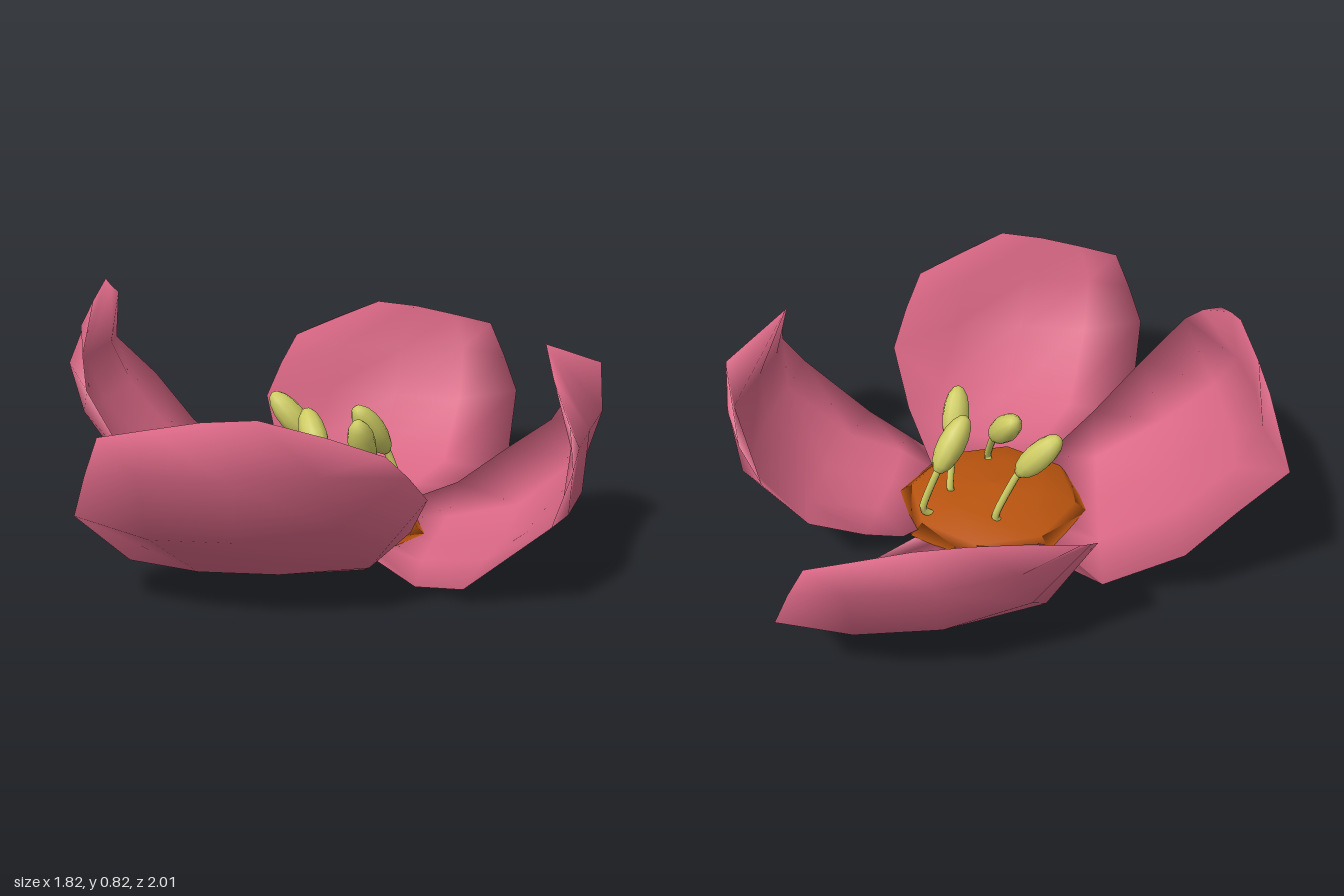
import * as THREE from 'three';

const V = (a) => new THREE.Vector3(...a);

// Open sheet through equal-length rows of points, base row first, facing outward
function sheet(rows) {
  const w = rows[0].length;
  const index = [];
  for (let r = 0; r < rows.length - 1; r++) {
    for (let c = 0; c < w - 1; c++) {
      const a = r * w + c;
      index.push(a, a + 1, a + w, a + 1, a + w + 1, a + w);
    }
  }
  const geo = new THREE.BufferGeometry();
  geo.setAttribute('position', new THREE.Float32BufferAttribute(rows.flat(2), 3));
  geo.setIndex(index);
  geo.computeVertexNormals();
  return geo;
}

// Thin closed petal: outer sheet plus an inner sheet sharing the same rim
function petal(rows, thickness) {
  const outer = sheet(rows);
  const { position, normal } = outer.attributes;
  const w = rows[0].length;
  const points = Array.from(position.array);
  const innerId = [];
  for (let i = 0; i < position.count; i++) {
    const r = Math.floor(i / w), c = i % w;
    const onRim = r === 0 || c === 0 || r === rows.length - 1 || c === w - 1;
    if (onRim) { innerId.push(i); continue; }
    innerId.push(points.length / 3);
    const p = new THREE.Vector3().fromBufferAttribute(position, i);
    const n = new THREE.Vector3().fromBufferAttribute(normal, i);
    points.push(...p.addScaledVector(n, -thickness).toArray());
  }
  const index = Array.from(outer.index.array);
  const inner = index.map((i) => innerId[i]).reverse();
  const geo = new THREE.BufferGeometry();
  geo.setAttribute('position', new THREE.Float32BufferAttribute(points, 3));
  geo.setIndex([...index, ...inner]);
  geo.computeVertexNormals();
  return geo;
}

export function createModel() {
  const model = new THREE.Group();
  model.name = 'flower';

  const petalPink = new THREE.MeshStandardMaterial({ color: 0xdb6886, side: THREE.DoubleSide });
  petalPink.name = 'petal pink';
  const discOrange = new THREE.MeshStandardMaterial({ color: 0xb9540f });
  discOrange.name = 'disc orange';
  const stamenYellow = new THREE.MeshStandardMaterial({ color: 0xcdcb62 });
  stamenYellow.name = 'stamen yellow';

  const add = (geo, mat, name, parent = model) => {
    const mesh = new THREE.Mesh(geo, mat);
    mesh.name = name;
    parent.add(mesh);
    return mesh;
  };

  // Cupped petals, cross-sections from base to rim
  const front = [
    [[-.10, .03, .20], [0, .03, .20], [.10, .03, .20], [.20, .03, .20], [.29, .03, .20]],
    [[-.28, .05, .42], [-.08, .03, .42], [.10, .02, .42], [.28, .03, .40], [.42, .16, .38]],
    [[-.385, .06, .63], [-.15, .06, .65], [.10, .08, .64], [.36, .12, .60], [.51, .32, .54]],
    [[-.385, .30, .94], [-.17, .25, .92], [.08, .26, .89], [.33, .30, .80], [.49, .42, .67]],
    [[-.33, .43, .97], [-.17, .45, .98], [.07, .45, .95], [.30, .46, .87], [.46, .51, .79]],
    [[-.27, .55, 1.0], [-.13, .58, .99], [.02, .61, .975], [.17, .625, .96], [.32, .57, .87]],
  ];
  // The back petal is the front one turned a little past half a turn
  const turn = Math.PI - 0.095;
  const [co, si] = [Math.cos(turn), Math.sin(turn)];
  const back = front.map((row) => row.map(([x, y, z]) =>
    [x * co - z * si + 0.18, y, x * si + z * co + 0.015]));
  const right = [
    [[-.10, .03, -.18], [-.10, .03, -.05], [-.10, .03, .08], [-.10, .03, .18], [-.11, .08, .28]],
    [[-.39, .05, -.35], [-.36, .02, -.12], [-.33, .02, .10], [-.30, .07, .30], [-.26, .18, .45]],
    [[-.64, .23, -.38], [-.61, .20, -.14], [-.58, .19, .10], [-.53, .23, .34], [-.42, .35, .56]],
    [[-.78, .40, -.36], [-.79, .40, -.14], [-.77, .39, .10], [-.70, .42, .32], [-.56, .55, .54]],
    [[-.92, .54, -.32], [-.86, .56, -.12], [-.84, .55, .10], [-.77, .57, .28], [-.62, .64, .45]],
    [[-.84, .73, -.20], [-.80, .77, -.08], [-.74, .82, .07], [-.71, .77, .21], [-.68, .71, .35]],
  ];
  const left = [
    [[.20, .03, .22], [.20, .03, .14], [.20, .03, .04], [.20, .03, -.08], [.29, .07, -.25]],
    [[.45, .01, .43], [.43, .01, .28], [.42, .01, .10], [.42, .03, -.10], [.40, .11, -.31]],
    [[.61, .05, .50], [.64, .05, .30], [.66, .05, .08], [.65, .08, -.17], [.55, .22, -.42]],
    [[.85, .26, .49], [.87, .24, .30], [.88, .25, .10], [.84, .25, -.22], [.70, .34, -.40]],
    [[.89, .40, .40], [.885, .43, .25], [.89, .44, .08], [.90, .45, -.14], [.77, .46, -.375]],
    [[.87, .52, .36], [.80, .63, .25], [.75, .70, .10], [.89, .61, -.12], [.83, .53, -.29]],
  ];
  Object.entries({ front, back, left, right }).forEach(([side, rows]) =>
    add(petal(rows, 0.025), petalPink, side + 'Petal'));

  // Low domed eight-sided centre, smooth round the rim
  const profile = [[0, .02], [.335, .035], [.29, .07], [.17, .10], [0, .115]]
    .map(([r, y]) => new THREE.Vector2(r, y));
  add(new THREE.LatheGeometry(profile, 8), discOrange, 'centreDisc').position.set(0.04, 0, 0.04);

  // Stamens: foot, knee, bottom of head, tip of head
  const stamens = [
    [[-.11, .012, -.09], [0, .10, -.13], [-.07, .27, -.11], [-.21, .43, -.10]],
    [[.15, .012, -.07], [.25, .10, -.13], [.20, .25, -.12], [.115, .425, -.02]],
    [[0, .012, .12], [.09, .10, .21], [.05, .255, .12], [-.05, .41, 0]],
    [[.13, .012, .15], [.18, .10, -.01], [.18, .24, .05], [.18, .425, .16]],
  ];
  for (const points of stamens) {
    const [foot, knee, low, tip] = points.map(V);
    const stamen = new THREE.Group();
    stamen.name = 'stamen';
    model.add(stamen);

    const path = new THREE.CatmullRomCurve3(
      [foot, knee, low, low.clone().lerp(tip, 0.3)], false, 'catmullrom', 0.2);
    add(new THREE.TubeGeometry(path, 16, 0.013, 8), stamenYellow, 'stalk', stamen);

    const axis = tip.clone().sub(low);
    const head = add(new THREE.SphereGeometry(1, 10, 8), stamenYellow, 'head', stamen);
    head.scale.set(0.047, axis.length() / 2, 0.047);
    head.position.copy(low).lerp(tip, 0.5);
    head.quaternion.setFromUnitVectors(new THREE.Vector3(0, 1, 0), axis.normalize());
  }
  return model;
}
